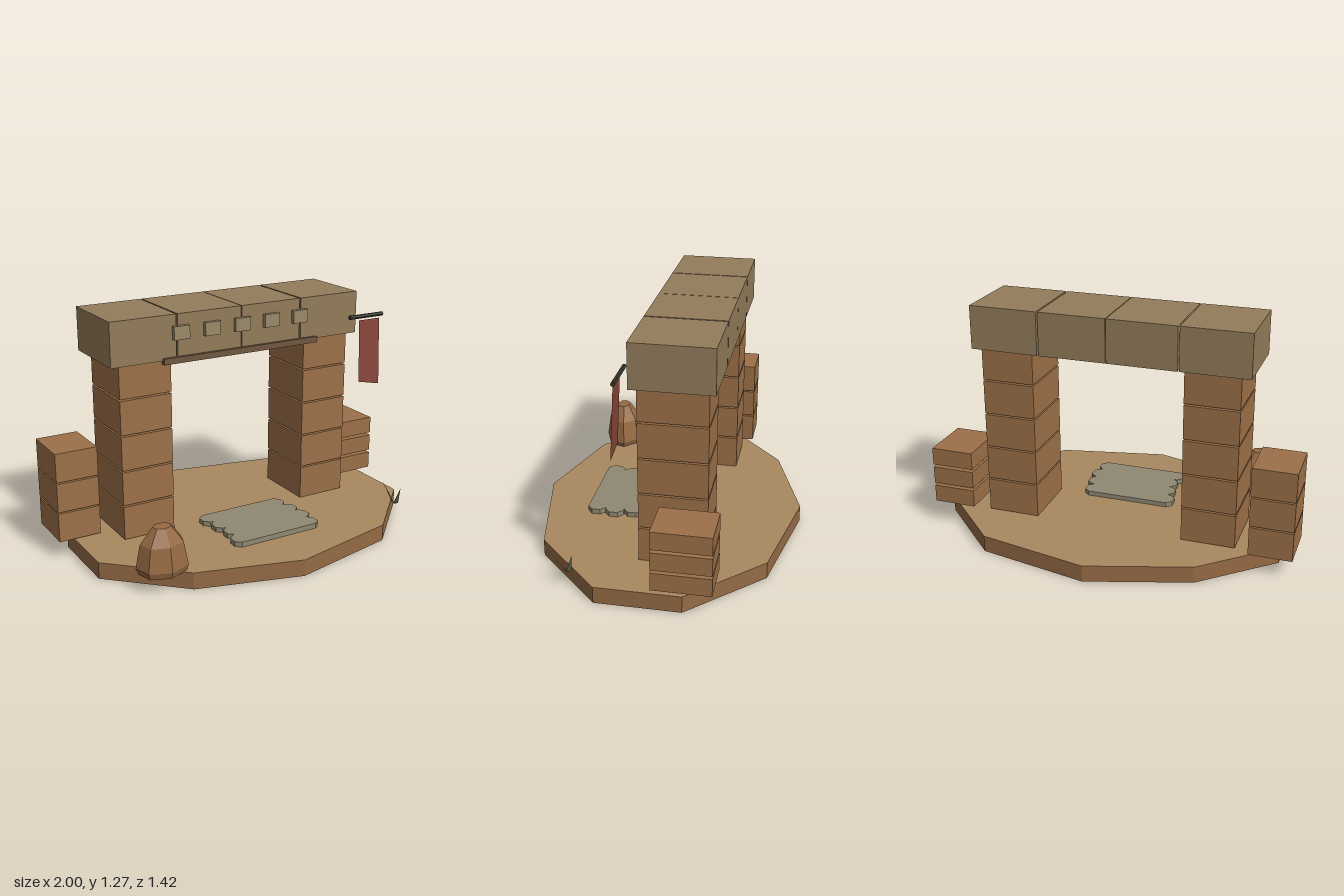
import * as THREE from 'three';

const mat = (color, side = THREE.FrontSide) =>
  new THREE.MeshStandardMaterial({ color, flatShading: true, side });

const clay = mat(0x9c7048), stone = mat(0x937c5a), trim = mat(0x6f5840);
const tileMat = mat(0x9a8a68), plankMat = mat(0x8f8872), dark = mat(0x35352a);

function add(parent, name, geometry, material, x = 0, y = 0, z = 0) {
  const mesh = new THREE.Mesh(geometry, material);
  mesh.name = name;
  mesh.position.set(x, y, z);
  parent.add(mesh);
  return mesh;
}

// Box given by its limits on each axis
function block(parent, name, material, [x0, x1], [y0, y1], [z0, z1]) {
  return add(parent, name, new THREE.BoxGeometry(x1 - x0, y1 - y0, z1 - z0), material,
    (x0 + x1) / 2, (y0 + y1) / 2, (z0 + z1) / 2);
}

// Column of equal blocks with thin open joints
function stack(parent, name, xs, zs, y0, count, height, pitch) {
  const group = new THREE.Group();
  group.name = name;
  for (let i = 0; i < count; i++) {
    const y = y0 + i * pitch;
    block(group, name + 'Block', clay, xs, [y, y + height], zs);
  }
  parent.add(group);
}

function triangles(points) {
  const g = new THREE.BufferGeometry();
  g.setAttribute('position', new THREE.Float32BufferAttribute(points.flat(), 3));
  g.computeVertexNormals();
  return g;
}

// Irregular ten-sided ground: a low fan on an open-bottomed rim
function addGround(parent) {
  const rim = [[0, 0.71], [0.6, 0.58], [0.97, 0.22], [0.97, -0.22], [0.6, -0.59],
    [0, -0.71], [-0.54, -0.54], [-0.91, -0.21], [-0.91, 0.21], [-0.55, 0.55]];
  const top = [], wall = [];
  rim.forEach(([x, z], i) => {
    const [u, w] = rim[(i + 1) % rim.length];
    const a = [x, 0, z], b = [u, 0, w], c = [u, 0.09, w], d = [x, 0.09, z];
    wall.push(a, b, c, a, c, d);
    top.push([0, 0.095, 0], d, c);
  });
  add(parent, 'groundTop', triangles(top), mat(0xa88860, THREE.DoubleSide));
  add(parent, 'groundRim', triangles(wall), mat(0x946a44, THREE.DoubleSide));
}

// Four planks with chamfered corners, slightly staggered
function addPlanks(parent) {
  const l = 0.26, h = 0.05, cx = 0.03, cz = 0.027;
  const outline = [[-l, -h + cz], [-l + cx, -h], [l - cx, -h], [l, -h + cz],
    [l, h - cz], [l - cx, h], [-l + cx, h], [-l, h - cz]];
  const shape = new THREE.Shape(outline.map(([x, y]) => new THREE.Vector2(x, y)));
  const geometry = new THREE.ExtrudeGeometry(shape, { depth: 0.03, bevelEnabled: false });
  geometry.rotateX(-Math.PI / 2);
  [0.01, 0.03, 0.045, 0.03].forEach((x, i) =>
    add(parent, 'stepPlank', geometry, plankMat, x, 0.09, 0.08 + i * 0.1));
}

// Tuft of outward-facing pointed blades
function addGrass(parent) {
  const points = [];
  for (let i = 0; i < 5; i++) {
    const a = 0.85 + i * Math.PI * 0.4, s = Math.sin(a), c = Math.cos(a);
    const tip = 0.09, w = 0.014, base = 0.012;
    points.push([s * base - c * w, 0, c * base + s * w],
      [s * base + c * w, 0, c * base - s * w],
      [s * tip, 0.125 + 0.02 * (i % 2), c * tip]);
  }
  add(parent, 'grassTuft', triangles(points), mat(0x747a5c), 0.85, 0.09, 0.375);
}

export function createModel() {
  const model = new THREE.Group();
  model.name = 'stoneGateway';
  addGround(model);

  // Pillars and the low stacks beside them
  stack(model, 'rightPillar', [-0.69, -0.4], [-0.3, 0.05], 0.096, 5, 0.183, 0.192);
  stack(model, 'leftPillar', [0.415, 0.7], [-0.3, 0.05], 0.096, 5, 0.183, 0.192);
  stack(model, 'rightStack', [-1, -0.77], [-0.355, -0.08], 0.103, 3, 0.157, 0.165);
  stack(model, 'leftStack', [0.765, 1], [-0.37, -0.07], 0.13, 3, 0.096, 0.112);

  // Lintel of four blocks with open joints
  [[-0.745, -0.382], [-0.374, -0.003], [0.001, 0.362], [0.371, 0.74]].forEach((xs) =>
    block(model, 'lintelBlock', stone, xs, [1.042, 1.275], [-0.335, 0.082]));
  block(model, 'lintelTrim', trim, [-0.46, 0.47], [1.023, 1.055], [0.068, 0.1]);
  for (let i = 0; i < 5; i++) {
    const x = -0.36 + i * 0.179;
    block(model, 'lintelTile', tileMat, [x - 0.045, x + 0.045], [1.145, 1.215], [0.078, 0.105]);
  }

  addPlanks(model);

  // Seven-sided boulder, flattened front to back
  const profile = [[0, 0], [0.125, 0], [0.14, 0.035], [0.115, 0.16], [0.05, 0.243], [0, 0.245]];
  const boulder = add(model, 'boulder',
    new THREE.LatheGeometry(profile.map(([x, y]) => new THREE.Vector2(x, y)), 7),
    mat(0x966a43), -0.665, 0.085, 0.443);
  boulder.scale.z = 0.77;

  // Banner hung from a rod
  const rod = add(model, 'bannerRod', new THREE.CylinderGeometry(0.012, 0.012, 0.225, 6),
    dark, 0.793, 1.135, 0.108);
  rod.rotation.z = Math.PI / 2;
  const a = [0.74, 1.115, 0.115], b = [0.88, 1.115, 0.115];
  const c = [0.88, 0.735, 0.135], d = [0.74, 0.765, 0.133];
  add(model, 'bannerCloth', triangles([a, d, c, a, c, b]), mat(0x87453a, THREE.DoubleSide));

  addGrass(model);
  return model;
}
